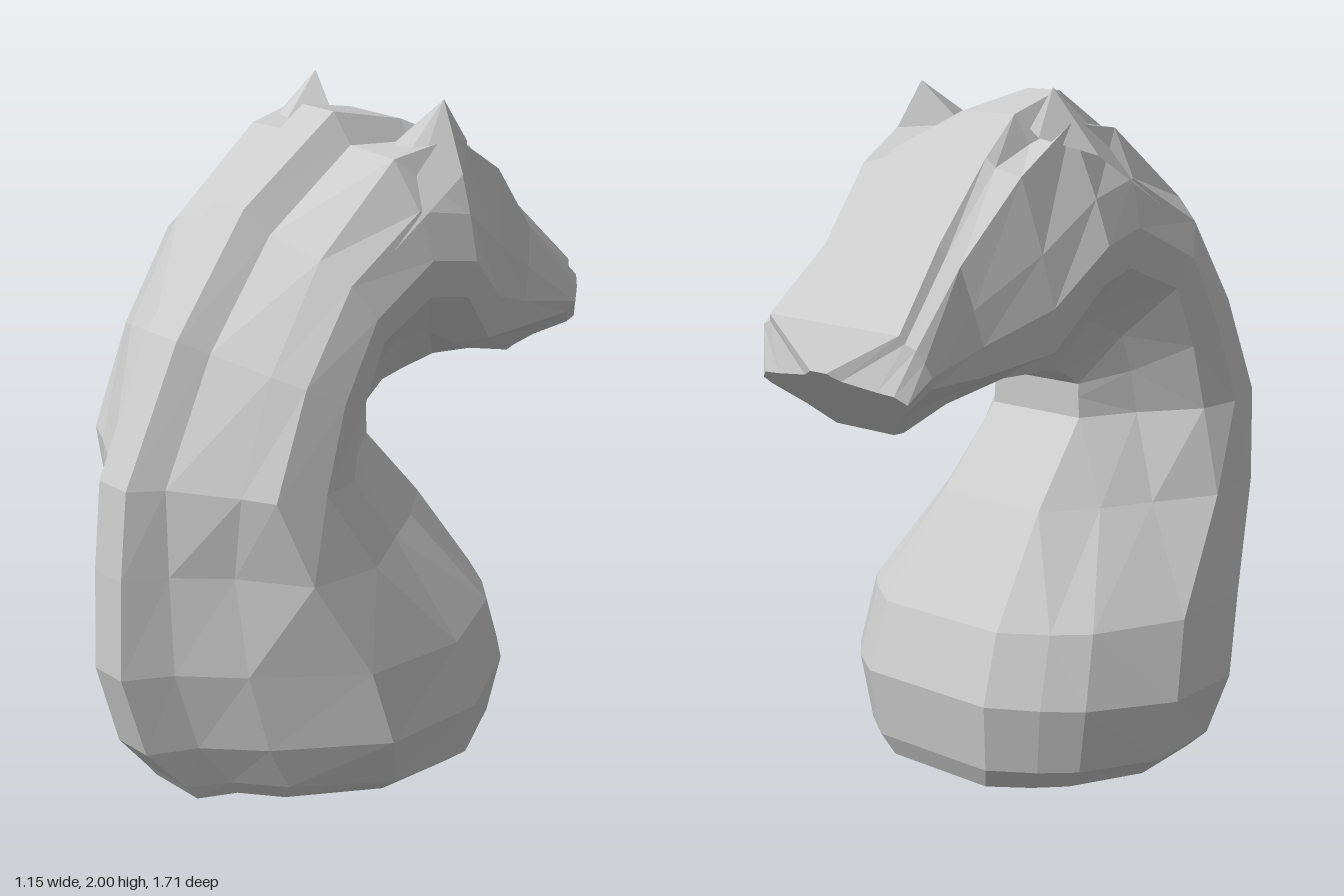
import * as THREE from 'three';

const stone = new THREE.MeshStandardMaterial({ color: 0xcccccc, flatShading: true });
stone.name = 'paleGrey';

// Cross-sections from the base, up the neck, over the crown and down to the nose.
// [crest z, crest y, throat z, throat y, crest half width, half width, jaw edge, lobe depth]
const SECTIONS = [
  [0.62, 0.045, -0.42, 0.035, 0.09, 0.46, 0.85, 0.18],
  [0.66, 0.10, -0.45, 0.10, 0.09, 0.53, 0.85, 0.19],
  [0.78, 0.25, -0.475, 0.30, 0.06, 0.575, 0.86, 0.20],
  [0.855, 0.52, -0.41, 0.50, 0.055, 0.55, 0.87, 0.21],
  [0.84, 0.82, -0.20, 0.80, 0.055, 0.47, 0.72, 0.23],
  [0.81, 1.08, 0.00, 1.04, 0.055, 0.42, 0.64, 0.25],
  [0.62, 1.46, 0.00, 1.10, 0.06, 0.41, 0.60, 0.21],
  [0.37, 1.77, 0.00, 1.14, 0.06, 0.41, 0.55, 0.17],
  [0.03, 1.975, -0.07, 1.185, 0.06, 0.40, 0.60, 0.12],
  [-0.20, 1.92, -0.14, 1.20, 0.10, 0.42, 0.62, 0.02],
  [-0.40, 1.82, -0.30, 1.20, 0.18, 0.37, 0.84, 0.07],
  [-0.60, 1.61, -0.50, 1.155, 0.20, 0.30, 0.78, 0.12],
  [-0.80, 1.40, -0.67, 1.105, 0.25, 0.32, 0.48, 0.12],
  [-0.855, 1.28, -0.69, 1.10, 0.03, 0.28, 0.42, 0.18],
];

// Closed ring: crest, groove, side lobe, flank, jaw or mane edge, then the recessed throat
function ring([oz, oy, iz, iy, r, w, e, lobe], index) {
  const mix = THREE.MathUtils.lerp;
  const chest = index <= 4;
  const groove = index >= 4 && index <= 9 ? 0.11 : Math.min(0.1, lobe * 0.6);
  const half = [
    [0, 0], [0, r], [groove, mix(r, w, 0.16)], [lobe, mix(r, w, chest ? 0.47 : 0.64)],
    [e * 0.48, mix(r, w, chest ? 0.92 : 0.88)], [e * 0.76, w], [e, w * (chest ? 0.79 : 0.95)],
    [(e + 1) / 2, w * 0.63], [1, w * 0.4], [1, 0],
  ];
  const point = ([t, x], side) => [x * side, mix(oy, iy, t), mix(oz, iz, t)];
  return [
    ...half.map((p) => point(p, 1)),
    ...half.slice(1, -1).reverse().map((p) => point(p, -1)),
  ];
}

function facets(out) {
  const geometry = new THREE.BufferGeometry();
  geometry.setAttribute('position', new THREE.Float32BufferAttribute(out, 3));
  geometry.computeVertexNormals();
  return geometry;
}

function loft(rings) {
  const out = [];
  const n = rings[0].length;
  const tri = (a, b, c) => out.push(...a, ...b, ...c);
  for (let i = 0; i < rings.length - 1; i++) {
    for (let j = 0; j < n; j++) {
      const k = (j + 1) % n;
      const [a, b, c, d] = [rings[i][j], rings[i][k], rings[i + 1][k], rings[i + 1][j]];
      // mirrored diagonals keep both sides alike
      if (j < n / 2) { tri(a, b, c); tri(a, c, d); } else { tri(a, b, d); tri(b, c, d); }
    }
  }
  // end caps
  [[rings[0], true], [rings[rings.length - 1], false]].forEach(([loop, flip]) => {
    const mid = [0, 1, 2].map((axis) => loop.reduce((s, p) => s + p[axis], 0) / n);
    loop.forEach((p, j) => {
      const q = loop[(j + 1) % n];
      if (flip) tri(mid, q, p); else tri(mid, p, q);
    });
  });
  return facets(out);
}

// Ear whose back runs down into the mane as a long ridge
function earGeometry(side) {
  const tip = [0.25, 2.0, -0.21];
  const base = [
    [0.37, 1.82, -0.16], [0.27, 1.87, -0.29], [0.13, 1.88, -0.17],
    [0.17, 1.80, 0.08], [0.29, 1.60, 0.30], [0.37, 1.66, 0.12],
  ];
  const flip = ([x, y, z]) => [x * side, y, z];
  const out = [];
  base.forEach((p, i) => {
    const q = base[(i + 1) % base.length];
    const face = side > 0 ? [tip, p, q] : [tip, q, p];
    face.forEach((v) => out.push(...flip(v)));
  });
  return facets(out);
}

export function createModel() {
  const group = new THREE.Group();
  group.name = 'horseHeadBust';
  const add = (name, geometry) => {
    const mesh = new THREE.Mesh(geometry, stone);
    mesh.name = name;
    group.add(mesh);
    return mesh;
  };

  add('neckAndHead', loft(SECTIONS.map(ring)));
  add('leftEar', earGeometry(1));
  add('rightEar', earGeometry(-1));

  // thin oval foot under the neck
  const foot = add('foot', new THREE.CylinderGeometry(1, 0.9, 0.04, 32));
  foot.scale.set(0.33, 1, 0.26);
  foot.position.set(0, 0.02, 0.02);
  return group;
}
